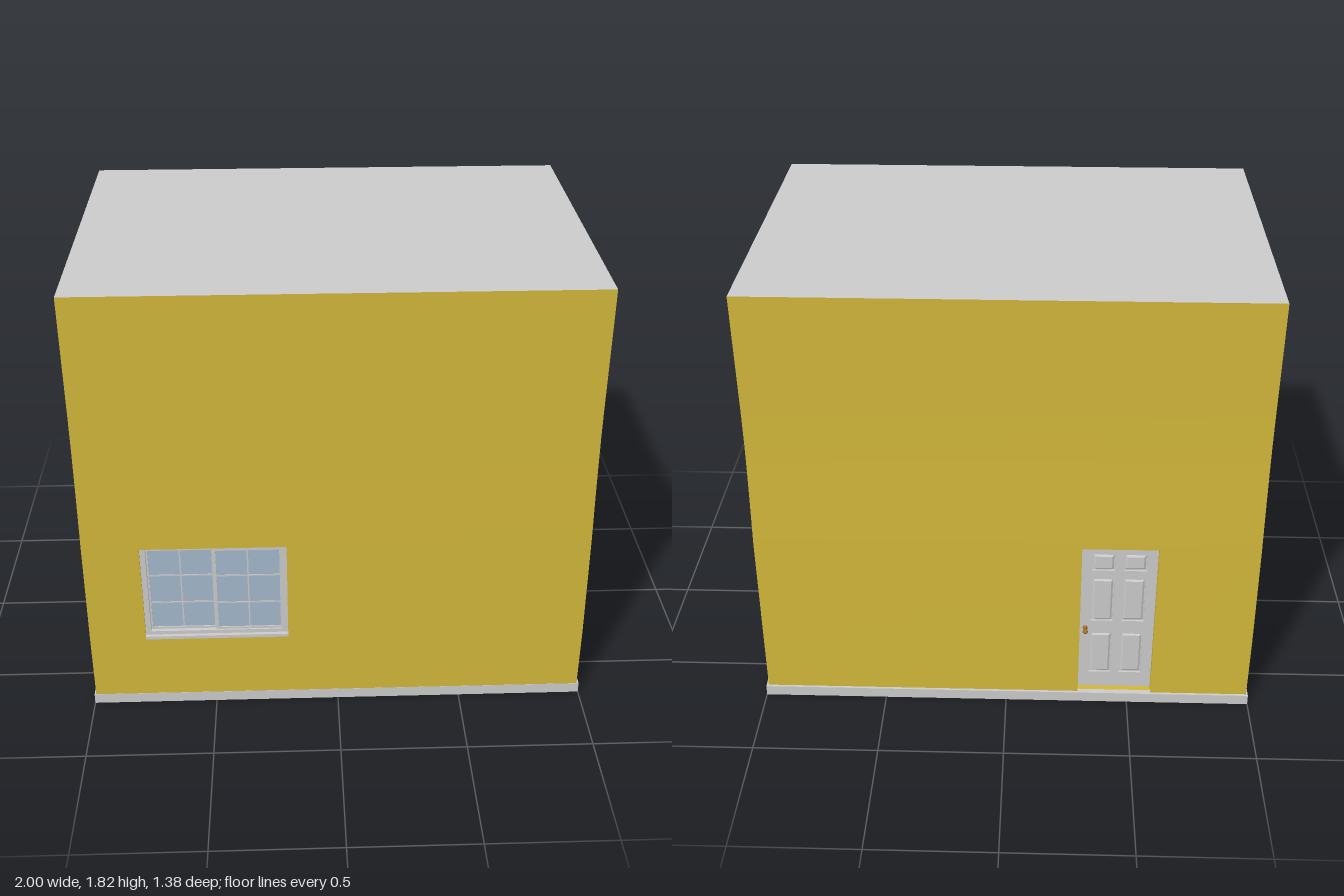
import * as THREE from 'three';

const mat = (color, side = THREE.FrontSide) => new THREE.MeshStandardMaterial({ color, side });
const GREY = mat(0xcccccc);
const YELLOW = mat(0xd2b73a, THREE.DoubleSide);
const GLASS = mat(0xa3b9cc);
const BRASS = mat(0xa8702c);

const BASE = 0.045, TOP = 1.82;

// Walls lean out very slightly towards the base
const flare = (y) => 1 - THREE.MathUtils.smoothstep(y, 0.35, 1.35);
const edge = {
  xR: (y) => 0.977 + 0.014 * flare(y),
  xL: (y) => -0.985 - 0.008 * flare(y),
  zF: (y) => 0.684 + 0.005 * flare(y),
  zB: (y) => -0.656 - 0.024 * flare(y),
};

// u runs to the right as seen from outside the wall
const SIDES = {
  front: { lo: edge.xL, hi: edge.xR, at: (u, y) => [u, y, edge.zF(y)], turn: 0 },
  right: { lo: (y) => -edge.zF(y), hi: (y) => -edge.zB(y), at: (u, y) => [edge.xR(y), y, -u], turn: Math.PI / 2 },
  back: { lo: (y) => -edge.xR(y), hi: (y) => -edge.xL(y), at: (u, y) => [-u, y, edge.zB(y)], turn: Math.PI },
  left: { lo: edge.zB, hi: edge.zF, at: (u, y) => [edge.xL(y), y, u], turn: -Math.PI / 2 },
};

function mesh(name, geometry, material, parent, x = 0, y = 0, z = 0) {
  const m = new THREE.Mesh(geometry, material);
  m.name = name;
  m.position.set(x, y, z);
  parent.add(m);
  return m;
}

const box = (name, w, h, d, material, parent, x, y, z) =>
  mesh(name, new THREE.BoxGeometry(w, h, d), material, parent, x, y, z);

function rect(Type, x0, y0, x1, y1) {
  const p = new Type();
  p.moveTo(x0, y0).lineTo(x1, y0).lineTo(x1, y1).lineTo(x0, y1).closePath();
  return p;
}

// Rectangular plate with rectangular holes, its front face at z = 0
function plate(outer, holes, depth) {
  const s = rect(THREE.Shape, ...outer);
  s.holes = holes.map((h) => rect(THREE.Path, ...h));
  return new THREE.ExtrudeGeometry(s, { depth, bevelEnabled: false }).translate(0, 0, -depth);
}

// Wall surface as a grid that leaves out the cells of its opening
function wallGeometry(side, [u0, y0, u1, y1]) {
  const us = [null, u0, u1, null];
  const ys = [BASE, y0, y1, ...Array.from({ length: 9 }, (_, i) => 0.86 + i * 0.12 * 0.999), TOP];
  const pos = [], idx = [];
  for (const y of ys) {
    us.forEach((u, i) => {
      const v = i === 0 ? side.lo(y) : i === 3 ? side.hi(y) : u;
      pos.push(...side.at(v, y));
    });
  }
  for (let j = 0; j < ys.length - 1; j++) {
    for (let i = 0; i < 3; i++) {
      if ((i === 1 && j === 1) || ys[j + 1] - ys[j] < 1e-6) continue;
      const a = j * 4 + i;
      idx.push(a, a + 1, a + 5, a, a + 5, a + 4);
    }
  }
  const g = new THREE.BufferGeometry();
  g.setAttribute('position', new THREE.Float32BufferAttribute(pos, 3));
  g.setIndex(idx);
  g.computeVertexNormals();
  return g;
}

// Sliding window, centred on its opening, outer wall plane at z = 0
const WIN = { w: 0.57, h: 0.435 };
function buildWindow() {
  const g = new THREE.Group();
  g.name = 'window';
  const hw = WIN.w / 2, hh = WIN.h / 2;
  mesh('windowFrame', plate([-hw, -hh, hw, hh], [[-hw + 0.022, -hh + 0.03, hw - 0.022, hh - 0.014]], 0.03), GREY, g, 0, 0, -0.012);
  box('windowSill', WIN.w, 0.014, 0.02, GREY, g, 0, -hh + 0.007, -0.008);
  // Fixed pane behind on the left, sliding sash ahead on the right
  for (const [s, z] of [[-1, -0.027], [1, -0.018]]) {
    const cx = s * 0.132, y0 = -hh + 0.03, y1 = hh - 0.014, cy = (y0 + y1) / 2;
    mesh('sash', plate([-0.134, y0, 0.134, y1], [[-0.124, y0 + 0.01, 0.124, y1 - 0.01]], 0.008), GREY, g, cx, 0, z);
    box('glass', 0.25, y1 - y0 - 0.018, 0.002, GLASS, g, cx, cy, z - 0.005);
    box('verticalGlazingBar', 0.006, y1 - y0 - 0.02, 0.004, GREY, g, cx, cy, z - 0.004);
    for (const k of [-1, 1]) {
      box('horizontalGlazingBar', 0.25, 0.006, 0.004, GREY, g, cx, cy + (k * (y1 - y0)) / 6, z - 0.004);
    }
  }
  return g;
}

// Six-panel door, centred in x, y measured from the ground
const DOOR = { w: 0.3, top: 0.765 };
function buildDoor() {
  const g = new THREE.Group();
  g.name = 'door';
  const holes = [];
  for (const [y0, y1] of [[0.12, 0.325], [0.39, 0.6], [0.642, 0.72]]) {
    for (const s of [-1, 1]) holes.push([s * 0.0625 - 0.045 + 0.001, y0, s * 0.0625 + 0.045, y1]);
  }
  mesh('doorFace', plate([-DOOR.w / 2, BASE, DOOR.w / 2, DOOR.top], holes, 0.008), GREY, g, 0, 0, -0.028);
  box('doorBoard', DOOR.w, DOOR.top - BASE, 0.01, GREY, g, 0, (DOOR.top + BASE) / 2, -0.041);
  // Raised panels: a box whose front face is drawn in to make sloped edges
  for (const [x0, y0, x1, y1] of holes) {
    const w = x1 - x0 - 0.01, h = y1 - y0 - 0.01;
    const geo = new THREE.BoxGeometry(w, h, 0.006).toNonIndexed();
    const p = geo.attributes.position;
    for (let i = 0; i < p.count; i++) {
      if (p.getZ(i) > 0) p.setXY(i, p.getX(i) * (1 - 0.014 / w), p.getY(i) * (1 - 0.014 / h));
    }
    geo.computeVertexNormals();
    mesh('doorPanel', geo, GREY, g, (x0 + x1) / 2, (y0 + y1) / 2, -0.033);
  }
  // Round knob on a rose
  const profile = [[0, 0], [0.01, 0], [0.01, 0.004], [0.004, 0.007], [0.004, 0.018], [0.009, 0.022], [0.011, 0.028], [0.008, 0.034], [0, 0.037]];
  const knob = new THREE.LatheGeometry(profile.map(([r, y]) => new THREE.Vector2(r, y)), 16);
  mesh('doorKnob', knob.rotateX(Math.PI / 2), BRASS, g, -0.127, 0.354, -0.028);
  return g;
}

export function createModel() {
  const model = new THREE.Group();
  model.name = 'house';

  box('foundationSlab', 2, BASE, 1.38, GREY, model, 0, BASE / 2, 0);

  // Flat roof meeting the wall tops
  const [xL, xR, zB, zF] = [edge.xL(TOP), edge.xR(TOP), edge.zB(TOP), edge.zF(TOP)];
  const roof = new THREE.PlaneGeometry(xR - xL, zF - zB).rotateX(-Math.PI / 2);
  mesh('roof', roof, mat(0xcccccc, THREE.DoubleSide), model, (xL + xR) / 2, TOP, (zB + zF) / 2);

  // Each wall with its opening: centre along the wall and kind of fitting
  const openings = [
    ['front', 'window', -0.485],
    ['left', 'window', 0.205],
    ['right', 'door', 0.212],
    ['back', 'door', 0.447],
  ];
  for (const [name, kind, u] of openings) {
    const side = SIDES[name], isDoor = kind === 'door';
    const hw = (isDoor ? DOOR.w : WIN.w) / 2;
    const y0 = isDoor ? BASE : 0.323;
    const y1 = isDoor ? DOOR.top : y0 + WIN.h;
    mesh(name + 'Wall', wallGeometry(side, [u - hw, y0, u + hw, y1]), YELLOW, model);

    const fitting = isDoor ? buildDoor() : buildWindow();
    const holder = new THREE.Group();
    holder.name = name + (isDoor ? 'Doorway' : 'WindowOpening');
    fitting.position.y = isDoor ? 0 : (y0 + y1) / 2;
    holder.add(fitting);
    // Lining of the opening, just behind the wall surface
    const lining = plate([-hw - 0.006, y0 - 0.006, hw + 0.006, y1 + 0.006], [[-hw, y0, hw, y1]], 0.042);
    mesh('openingLining', lining, YELLOW, holder, 0, 0, -0.004);
    const [x, , z] = side.at(u, y1);
    holder.position.set(x, 0, z);
    holder.rotation.y = side.turn;
    model.add(holder);
  }
  return model;
}
